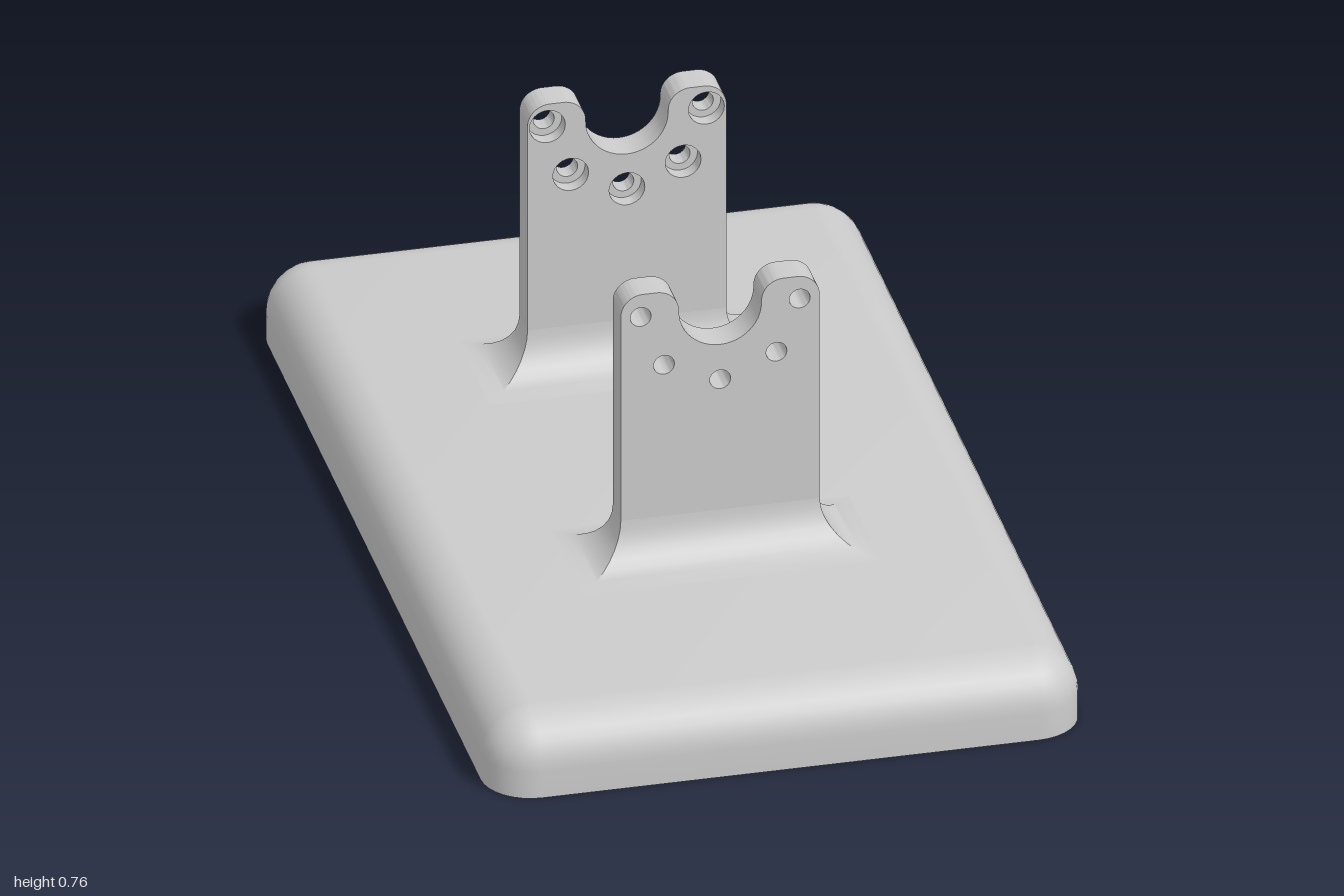
import * as THREE from 'three';
import { toCreasedNormals } from 'three/addons/utils/BufferGeometryUtils.js';

const material = new THREE.MeshStandardMaterial({ color: 0xcccccc });
const BASE_TOP = 0.16, FILLET = 0.1, STEPS = 8;
const HALF_W = 0.2, THICK = 0.068, TOP = 0.762, NOTCH_Y = 0.713, NOTCH_R = 0.083, EAR_R = 0.045;

function mesh(name, geometry) {
  const m = new THREE.Mesh(toCreasedNormals(geometry, 0.6), material);
  m.name = name;
  return m;
}

// Skin a stack of rings (bottom to top, each running from +x towards +z) and cap both ends
function loft(rings) {
  const pos = [];
  const tri = (...pts) => pts.forEach((p) => pos.push(...p));
  const n = rings[0].length;
  for (let j = 0; j < n; j++) {
    const k = (j + 1) % n;
    for (let i = 0; i < rings.length - 1; i++) {
      const lo = rings[i], hi = rings[i + 1];
      tri(lo[j], hi[j], lo[k]);
      tri(lo[k], hi[j], hi[k]);
    }
    const first = rings[0], last = rings[rings.length - 1];
    tri([0, first[0][1], 0], first[j], first[k]);
    tri([0, last[0][1], 0], last[k], last[j]);
  }
  const g = new THREE.BufferGeometry();
  g.setAttribute('position', new THREE.Float32BufferAttribute(pos, 3));
  return g;
}

// Rectangle of half size hx, hz grown by radius r with round corners
function roundRing(hx, hz, r, y) {
  const ring = [];
  [[1, 1], [-1, 1], [-1, -1], [1, -1]].forEach(([sx, sz], q) => {
    for (let i = 0; i <= STEPS; i++) {
      const a = (q + i / STEPS) * Math.PI / 2;
      ring.push([sx * hx + r * Math.cos(a), y, sz * hz + r * Math.sin(a)]);
    }
  });
  return ring;
}

// Base slab: vertical wall, then a rounded top edge
function baseGeometry() {
  const rings = [roundRing(0.5, 0.9, FILLET, 0)];
  for (let i = 0; i <= STEPS; i++) {
    const a = i / STEPS * Math.PI / 2;
    rings.push(roundRing(0.5, 0.9, FILLET * Math.cos(a), BASE_TOP - FILLET + FILLET * Math.sin(a)));
  }
  return loft(rings);
}

// Concave flare with mitred corners at the foot of an upright
function flareGeometry() {
  const rings = [];
  for (let i = 0; i <= STEPS; i++) {
    const a = i / STEPS * Math.PI / 2;
    const d = FILLET * (1 - Math.sin(a));
    const x = HALF_W + d, z = THICK / 2 + d, y = BASE_TOP + FILLET * (1 - Math.cos(a));
    rings.push([[x, y, z], [-x, y, z], [-x, y, -z], [x, y, -z]]);
  }
  return loft(rings);
}

// Upright outline with two rounded ears, a round notch and five bolt holes
function plateGeometry(holeRadius, depth) {
  const s = new THREE.Shape();
  const earY = TOP - EAR_R, half = Math.PI / 2;
  s.moveTo(-HALF_W, BASE_TOP + FILLET);
  s.lineTo(HALF_W, BASE_TOP + FILLET);
  s.absarc(HALF_W - EAR_R, earY, EAR_R, 0, half, false);
  s.absarc(NOTCH_R + EAR_R, earY, EAR_R, half, Math.PI, false);
  s.absarc(0, NOTCH_Y, NOTCH_R, 0, -Math.PI, true);
  s.absarc(-NOTCH_R - EAR_R, earY, EAR_R, 0, half, false);
  s.absarc(-HALF_W + EAR_R, earY, EAR_R, half, Math.PI, false);
  s.closePath();
  // Holes sit every 45 degrees around the notch centre
  for (let i = 0; i < 5; i++) {
    const a = Math.PI + i * Math.PI / 4;
    const hole = new THREE.Path();
    hole.absarc(0.16 * Math.cos(a), NOTCH_Y - 0.001 + 0.16 * Math.sin(a), holeRadius, 0, Math.PI * 2, true);
    s.holes.push(hole);
  }
  return new THREE.ExtrudeGeometry(s, { depth, bevelEnabled: false, curveSegments: 12 });
}

function upright(name, z, recess) {
  const g = new THREE.Group();
  g.name = name;
  g.position.z = z;
  g.add(mesh('flare', flareGeometry()));
  const plate = mesh('plate', plateGeometry(0.021, THICK - recess));
  plate.position.z = -THICK / 2;
  g.add(plate);
  // Wider bolt recesses open on the front face
  if (recess) {
    const face = mesh('recessedFace', plateGeometry(0.036, recess));
    face.position.z = THICK / 2 - recess;
    g.add(face);
  }
  return g;
}

export function createModel() {
  const model = new THREE.Group();
  model.name = 'bracketStand';
  model.add(mesh('base', baseGeometry()));
  model.add(upright('frontUpright', 0.373, 0));
  model.add(upright('backUpright', -0.414, 0.03));
  return model;
}
